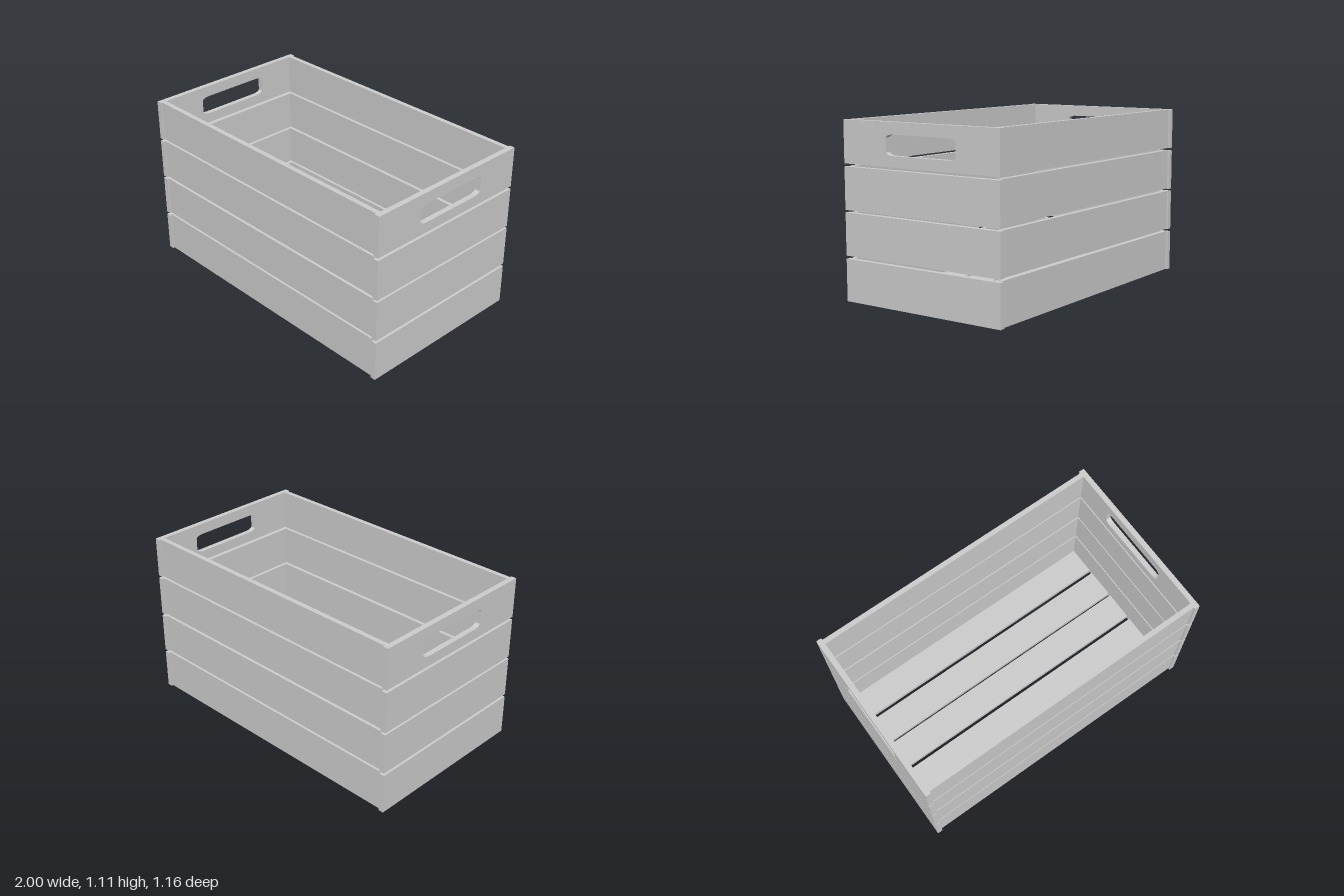
import * as THREE from 'three';

const material = new THREE.MeshStandardMaterial({ color: 0xcccccc });
const INNER_X = 0.965, OUTER_X = 1, END_Z = 0.58;
const SIDE_IN = 0.535, SIDE_OUT = 0.567, TOP = 1.113;

// Box given by its extents on each axis
function plank(name, [x0, x1], [y0, y1], [z0, z1]) {
  const mesh = new THREE.Mesh(new THREE.BoxGeometry(x1 - x0, y1 - y0, z1 - z0), material);
  mesh.position.set((x0 + x1) / 2, (y0 + y1) / 2, (z0 + z1) / 2);
  mesh.name = name;
  return mesh;
}

// Top end board with a soft-cornered hand hole, drawn in (z, y) and extruded along x
function handleBoardGeometry(y0, y1) {
  const shape = new THREE.Shape();
  shape.moveTo(-END_Z, y0).lineTo(END_Z, y0).lineTo(END_Z, y1).lineTo(-END_Z, y1).closePath();
  const a = -0.275, b = 0.243, c = 0.915, d = 1.04, rx = 0.055, ry = 0.022;
  const hole = new THREE.Path();
  hole.moveTo(a + rx, c);
  hole.absellipse(a + rx, c + ry, rx, ry, -Math.PI / 2, -Math.PI, true);
  hole.absellipse(a + rx, d - ry, rx, ry, Math.PI, Math.PI / 2, true);
  hole.absellipse(b - rx, d - ry, rx, ry, Math.PI / 2, 0, true);
  hole.absellipse(b - rx, c + ry, rx, ry, 0, -Math.PI / 2, true);
  hole.closePath();
  shape.holes.push(hole);
  const geometry = new THREE.ExtrudeGeometry(shape, {
    depth: OUTER_X - INNER_X, bevelEnabled: false, curveSegments: 6,
  });
  return geometry.rotateY(-Math.PI / 2);
}

export function createModel() {
  const crate = new THREE.Group();
  crate.name = 'crate';

  // Long boards, front and back
  const longRows = [[0, 0.268], [0.284, 0.55], [0.568, 0.833], [0.848, TOP]];
  for (const row of longRows) {
    crate.add(plank('frontBoard', [-INNER_X, INNER_X], row, [SIDE_IN, SIDE_OUT]));
    crate.add(plank('backBoard', [-INNER_X, INNER_X], row, [-SIDE_OUT, -SIDE_IN]));
  }

  // End boards, covering the ends of the long boards
  const endRows = [[0, 0.265], [0.284, 0.55], [0.565, 0.83]];
  for (const row of endRows) {
    crate.add(plank('leftEndBoard', [INNER_X, OUTER_X], row, [-END_Z, END_Z]));
    crate.add(plank('rightEndBoard', [-OUTER_X, -INNER_X], row, [-END_Z, END_Z]));
  }

  // Top end boards with hand holes
  const handleGeometry = handleBoardGeometry(0.848, TOP);
  for (const [name, x] of [['leftHandleBoard', OUTER_X], ['rightHandleBoard', -INNER_X]]) {
    const board = new THREE.Mesh(handleGeometry, material);
    board.name = name;
    board.position.x = x;
    crate.add(board);
  }

  // Floor slats
  const slats = [[-SIDE_IN, -0.345], [-0.318, -0.12], [-0.104, 0.094], [0.12, 0.313], [0.34, SIDE_IN]];
  for (const z of slats) crate.add(plank('floorSlat', [-INNER_X, INNER_X], [0, 0.033], z));

  return crate;
}
